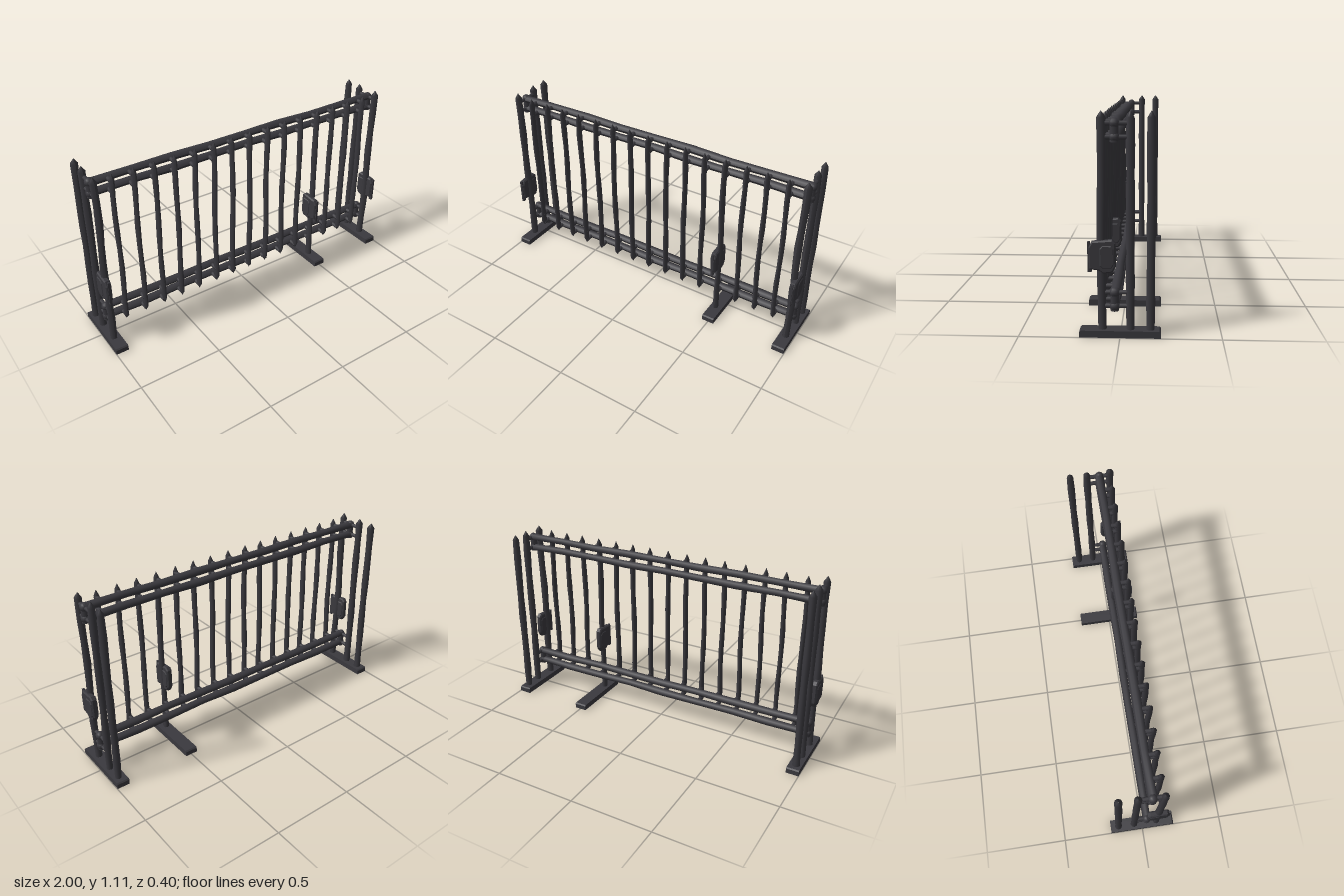
import * as THREE from 'three';

const iron = new THREE.MeshStandardMaterial({ color: 0x3a393e });
iron.name = 'darkIron';

export function createModel() {
  const gate = new THREE.Group();
  gate.name = 'slidingGate';

  const add = (name, geometry, x, y, z, parent = gate) => {
    const mesh = new THREE.Mesh(geometry, iron);
    mesh.name = name;
    mesh.position.set(x, y, z);
    parent.add(mesh);
    return mesh;
  };

  // Upright bar along y with tapered tips and a slight hand-forged waver
  const bar = (bottom, top, r, tipLow, tipHigh, waver, seed, depth = 1) => {
    const pts = [new THREE.Vector2(tipLow ? 0.001 : r, bottom)];
    const lo = bottom + tipLow, hi = top - tipHigh;
    for (let i = 0; i <= 8; i++) {
      const swell = 1 + 0.08 * Math.sin(i * 2.3 + seed);
      pts.push(new THREE.Vector2(r * swell, lo + 0.001 + (hi - lo - 0.002) * i / 8));
    }
    pts.push(new THREE.Vector2(tipHigh ? 0.001 : r, top));
    const g = new THREE.LatheGeometry(pts, 8);
    const p = g.attributes.position;
    for (let i = 0; i < p.count; i++) {
      const y = p.getY(i);
      p.setX(i, p.getX(i) + waver * Math.sin(y * 9 + seed * 1.7));
      p.setZ(i, p.getZ(i) * depth + waver * 0.6 * Math.cos(y * 7 + seed));
    }
    g.computeVertexNormals();
    return g;
  };

  // Floor feet
  const foot = new THREE.Shape([
    [-0.2, 0], [0.2, 0], [0.2, 0.028], [0.193, 0.035], [-0.193, 0.035], [-0.2, 0.028],
  ].map(([a, b]) => new THREE.Vector2(a, b)));
  const footGeometry = new THREE.ExtrudeGeometry(foot, { depth: 0.076, bevelEnabled: false });
  footGeometry.translate(0, 0, -0.038).rotateY(Math.PI / 2);
  [-0.962, 0.498, 0.96].forEach((x) => add('foot', footGeometry, x, 0, 0));

  // End posts, three on each outer foot
  [-0.965, 0.963].forEach((x, i) => {
    [0.09, -0.05, -0.15].forEach((z, j) => {
      add('endPost', bar(0.03, 1.105, 0.021, 0, 0.03, j ? 0.001 : 0.004, i * 3 + j), x, 0, z);
    });
  });

  // Pickets, with one of them running down to the middle foot
  for (let i = -7; i <= 7; i++) {
    const isPost = i === 4;
    const g = bar(isPost ? 0.03 : 0.13, 1.09, isPost ? 0.016 : 0.0145,
      isPost ? 0 : 0.035, 0.035, 0.003, i + 9, 1.25);
    add(isPost ? 'middlePost' : 'picket', g, i * 0.1235, 0, 0.087);
  }

  // Paired rails with short pins to every upright
  const pin = new THREE.CylinderGeometry(0.013, 0.013, 0.06, 8).rotateX(Math.PI / 2);
  const endPin = new THREE.CylinderGeometry(0.012, 0.012, 0.14, 8).rotateX(Math.PI / 2);
  const collar = new THREE.SphereGeometry(0.026, 10, 8);
  [1.047, 0.982, 0.223, 0.154].forEach((y, k) => {
    const rail = add('rail', bar(-0.96, 0.975, 0.0215, 0, 0, 0.003, k + 2, 1.12), 0, y, 0.026);
    rail.rotation.z = -Math.PI / 2;
    for (let i = -7; i <= 7; i++) add('picketPin', pin, i * 0.1235, y, 0.062);
    [-0.962, 0.965].forEach((x) => {
      add('endPin', endPin, x, y, 0.02);
      add('railCollar', collar, x, y, 0.026);
    });
  });

  // Forged links joining each pair of rail ends
  const link = new THREE.CylinderGeometry(0.021, 0.021, 0.1, 8);
  [1.008, 0.18].forEach((y) => {
    [-0.962, 0.965].forEach((x) => add('railLink', link, x, y, 0.027));
  });

  // Lock cases: chamfered plates lying in the yz plane
  const plate = (points, depth, bevel) => {
    const s = new THREE.Shape(points.map(([z, y]) => new THREE.Vector2(-z, y)));
    const g = new THREE.ExtrudeGeometry(s, {
      depth, bevelEnabled: true, bevelSize: bevel, bevelThickness: bevel, bevelSegments: 1,
    });
    return g.translate(0, 0, -depth / 2).rotateY(Math.PI / 2);
  };
  const caseGeometry = plate([
    [0.142, 0.35], [0.145, 0.45], [0.132, 0.475], [0.04, 0.483],
    [0.028, 0.47], [0.026, 0.36], [0.04, 0.335], [0.08, 0.33], [0.1, 0.345],
  ], 0.02, 0.007);
  const panelGeometry = plate([
    [0.093, 0.365], [0.093, 0.445], [0.083, 0.457], [0.043, 0.457],
    [0.033, 0.445], [0.033, 0.37], [0.043, 0.355], [0.083, 0.355],
  ], 0.034, 0.004);
  const latchGeometry = new THREE.BoxGeometry(0.014, 0.13, 0.012);
  const hookGeometry = new THREE.BoxGeometry(0.014, 0.03, 0.02);
  [-0.976, 0.485, 0.976].forEach((x) => {
    const lock = new THREE.Group();
    lock.name = 'lock';
    lock.position.x = x;
    gate.add(lock);
    add('lockCase', caseGeometry, 0, 0, 0, lock);
    add('lockPanel', panelGeometry, 0, 0, 0, lock);
    add('latchBar', latchGeometry, 0, 0.415, 0.151, lock);
    add('latchHook', hookGeometry, 0, 0.343, 0.147, lock);
  });

  return gate;
}
